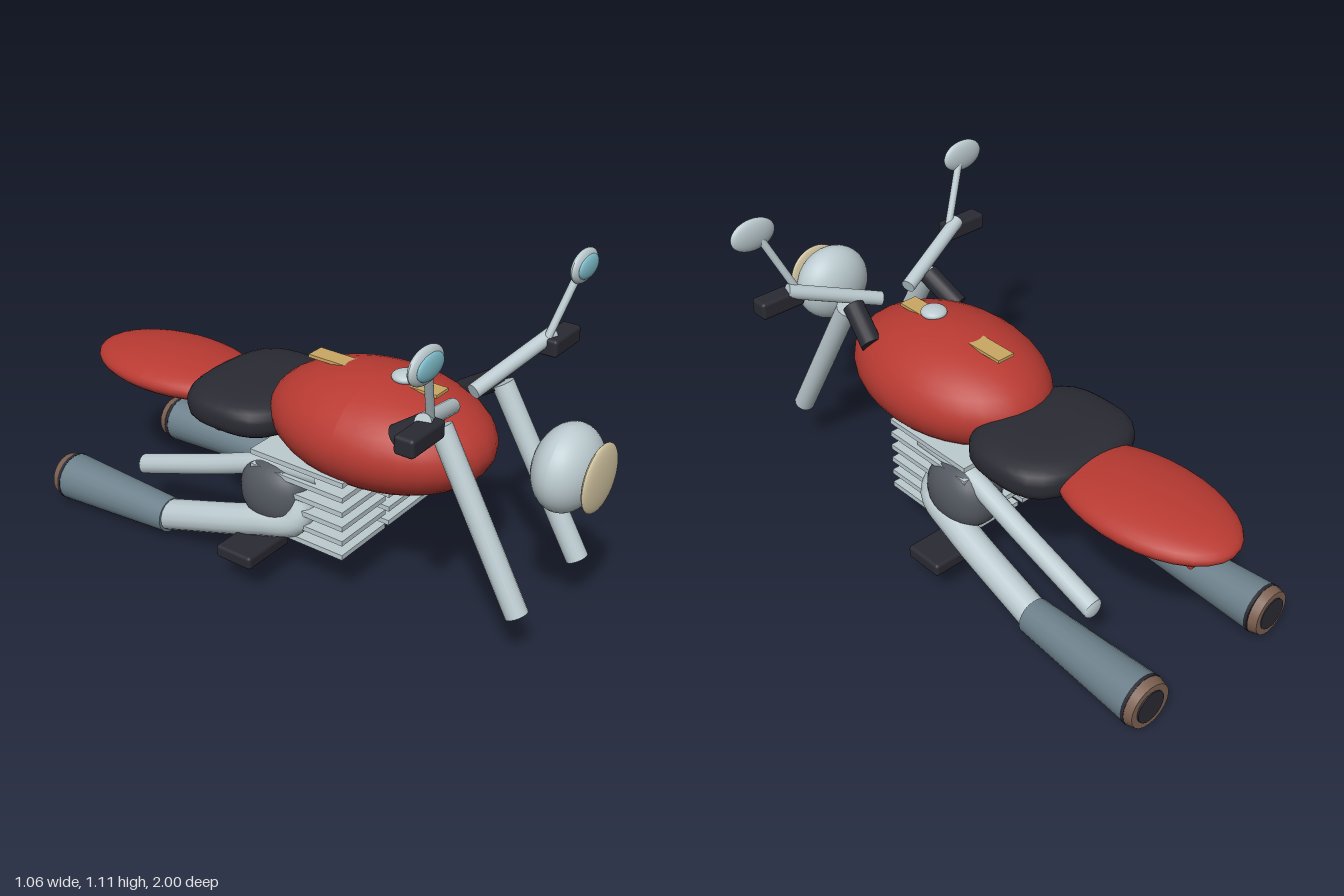
import * as THREE from 'three';
import { RoundedBoxGeometry } from 'three/addons/geometries/RoundedBoxGeometry.js';

const mat = (name, color, roughness) => {
  const m = new THREE.MeshStandardMaterial({ color });
  m.name = name;
  return m;
};

export function createModel() {
  const root = new THREE.Group();
  root.name = 'motorcycle';
  const red = mat('red paint', 0xb83a32);
  const chrome = mat('chrome', 0xbccbd0);
  const black = mat('black rubber', 0x2a2a33);
  const slate = mat('slate steel', 0x6c808b);
  const iron = mat('dark iron', 0x52575f);
  const cream = mat('cream lens', 0xd6c8a4);
  const blue = mat('mirror glass', 0x80bfcc);
  const gold = mat('gold trim', 0xcaa863);
  const brown = mat('burnt brown', 0x7d6152);

  const add = (name, geometry, material) => {
    const mesh = new THREE.Mesh(geometry, material);
    mesh.name = name;
    root.add(mesh);
    return mesh;
  };

  // Ellipsoid; an exponent above 2 makes it blunter
  const blob = (name, material, [x, y, z], [rx, ry, rz], power = 2) => {
    const g = new THREE.SphereGeometry(1, 32, 20);
    const p = g.attributes.position;
    for (let i = 0; i < p.count; i++) {
      const a = Math.abs(p.getX(i)), b = Math.abs(p.getY(i)), c = Math.abs(p.getZ(i));
      const k = 1 / Math.pow(a ** power + b ** power + c ** power, 1 / power);
      p.setXYZ(i, p.getX(i) * k * rx, p.getY(i) * k * ry, p.getZ(i) * k * rz);
    }
    g.computeVertexNormals();
    return add(name, g, material).position.set(x, y, z);
  };

  // Straight rod from a to b, with its own radius at each end
  const rod = (name, material, a, b, r0, r1 = r0, sides = 16) => {
    const from = new THREE.Vector3(...a), to = new THREE.Vector3(...b);
    const dir = to.clone().sub(from);
    const mesh = add(name, new THREE.CylinderGeometry(r1, r0, dir.length(), sides), material);
    mesh.position.copy(from).add(to).multiplyScalar(0.5);
    mesh.quaternion.setFromUnitVectors(new THREE.Vector3(0, 1, 0), dir.normalize());
  };

  const box = (name, material, [x, y, z], [w, h, d], radius = 0) => {
    const g = radius ? new RoundedBoxGeometry(w, h, d, 3, radius) : new THREE.BoxGeometry(w, h, d);
    add(name, g, material).position.set(x, y, z);
  };

  const pipe = (name, material, points, r) => {
    const curve = new THREE.CatmullRomCurve3(points.map((p) => new THREE.Vector3(...p)));
    add(name, new THREE.TubeGeometry(curve, 28, r, 14), material);
    const end = points[points.length - 1];
    blob(name + 'End', material, end, [r, r, r * 0.4]);
  };

  // Body
  blob('fuelTank', red, [0, 0.565, 0.22], [0.28, 0.188, 0.4]);
  blob('seat', black, [0, 0.53, -0.262], [0.26, 0.077, 0.21], 3);
  blob('tailFairing', red, [0, 0.52, -0.66], [0.2, 0.07, 0.34]);
  rod('tailLight', red, [-0.075, 0.468, -0.9], [0.075, 0.468, -0.9], 0.015);
  box('tankStripe', gold, [0, 0.737, 0.198], [0.066, 0.011, 0.49]);
  blob('fuelCap', chrome, [0, 0.755, 0.307], [0.045, 0.02, 0.045]);

  // Headlight
  blob('headlight', chrome, [0, 0.63, 0.88], [0.143, 0.137, 0.098]);
  blob('headlightLens', cream, [0, 0.628, 0.981], [0.11, 0.108, 0.019]);

  for (const s of [-1, 1]) {
    // Fork and its clamp to the tank
    rod('fork', chrome, [s * 0.178, 0.735, 0.55], [s * 0.19, 0.2, 0.85], 0.037);
    rod('forkClamp', black, [s * 0.165, 0.745, 0.53], [s * 0.192, 0.66, 0.405], 0.037);

    // Handlebar, grip and mirror
    rod('handlebar', chrome, [s * 0.06, 0.74, 0.515], [s * 0.37, 0.85, 0.61], 0.025);
    box('grip', black, [s * 0.4, 0.82, 0.62], [0.165, 0.06, 0.068], 0.012);
    rod('mirrorStem', chrome, [s * 0.335, 0.85, 0.612], [s * 0.425, 1.05, 0.655], 0.013);
    blob('mirrorShell', chrome, [s * 0.445, 1.065, 0.66], [0.083, 0.055, 0.022]);
    blob('mirrorGlass', blue, [s * 0.445, 1.065, 0.675], [0.064, 0.039, 0.014]);

    // Engine: crankcase and cooling fins
    blob('crankcase', iron, [s * 0.187, 0.315, -0.05], [0.104, 0.118, 0.135], 2.3);
    for (let i = 0; i < 6; i++) {
      box('coolingFin', chrome, [s * 0.13, 0.192 + i * 0.053, 0.065], [0.24, 0.018, 0.37]);
    }
    box('footPeg', black, [s * 0.298, 0.14, -0.08], [0.206, 0.046, 0.145], 0.012);

    // Exhausts
    pipe('upperExhaust', chrome, [[s * 0.2, 0.43, 0.13], [s * 0.2, 0.41, -0.05],
      [s * 0.2, 0.31, -0.34], [s * 0.2, 0.205, -0.65]], 0.036);
    pipe('lowerExhaust', chrome, [[s * 0.2, 0.32, 0.05], [s * 0.225, 0.255, 0.05],
      [s * 0.25, 0.205, -0.1], [s * 0.275, 0.095, -0.48]], 0.054);
    rod('muffler', slate, [s * 0.275, 0.095, -0.47], [s * 0.284, 0.092, -0.935], 0.062, 0.086, 20);
    rod('mufflerBand', black, [s * 0.284, 0.092, -0.93], [s * 0.284, 0.092, -0.942], 0.0868, 0.0868, 20);
    rod('mufflerTip', brown, [s * 0.284, 0.092, -0.942], [s * 0.285, 0.092, -0.972], 0.086, 0.078, 20);
    rod('mufflerOutlet', black, [s * 0.285, 0.092, -0.968], [s * 0.285, 0.092, -0.976], 0.056, 0.056, 20);
  }
  return root;
}
